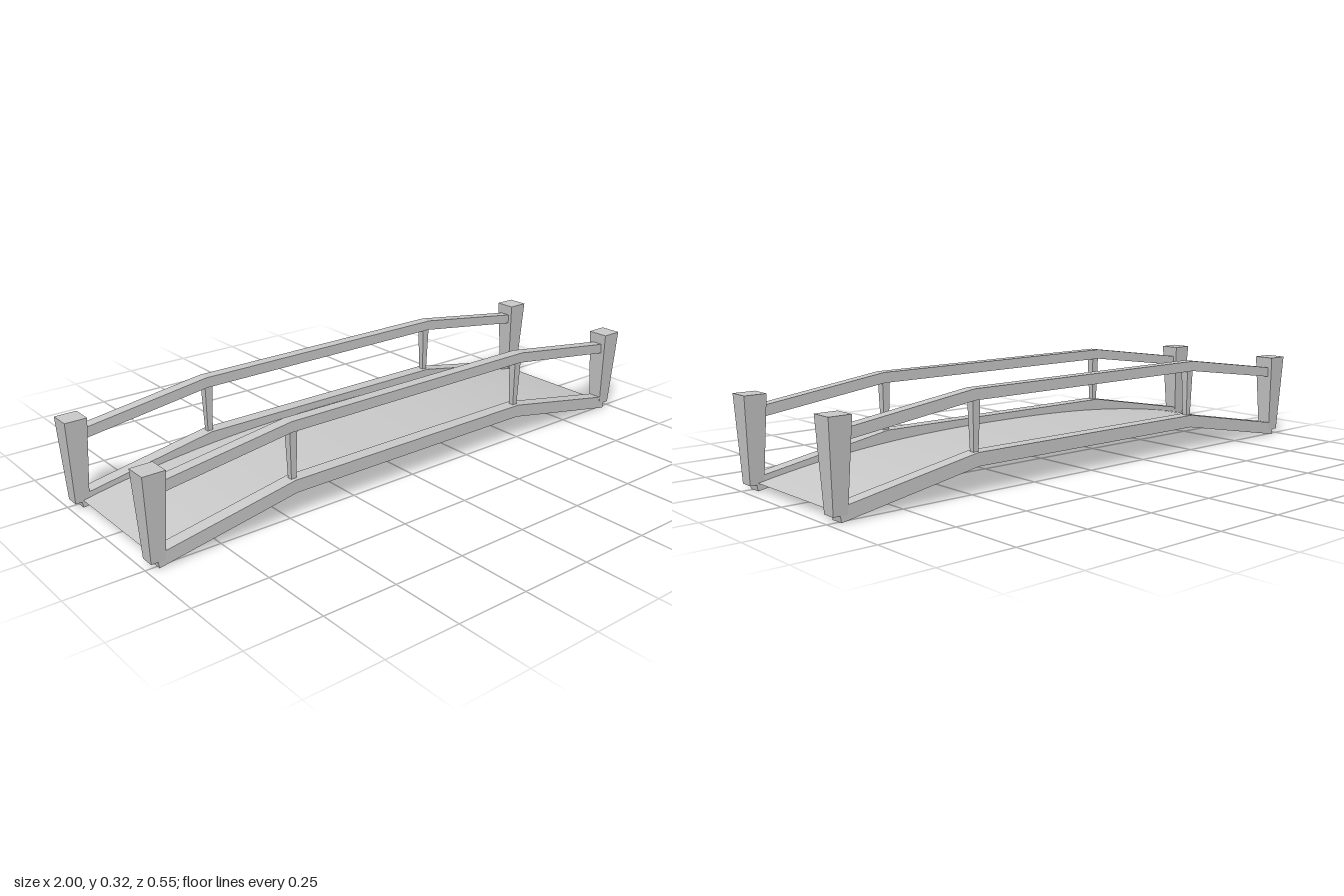
import * as THREE from 'three';

const material = new THREE.MeshStandardMaterial({ color: 0xcccccc, flatShading: true });
const deckMaterial = new THREE.MeshStandardMaterial({ color: 0xcccccc, side: THREE.DoubleSide });

const SIDE_Z = 0.24;

// Square post that widens towards the top
function taperedPost(name, bottomWidth, topWidth, y0, y1) {
  const geo = new THREE.BoxGeometry(1, y1 - y0, 1);
  const p = geo.attributes.position;
  for (let i = 0; i < p.count; i++) {
    const w = p.getY(i) > 0 ? topWidth : bottomWidth;
    p.setXYZ(i, p.getX(i) * w, p.getY(i) + (y0 + y1) / 2, p.getZ(i) * w);
  }
  geo.computeVertexNormals();
  const mesh = new THREE.Mesh(geo, material);
  mesh.name = name;
  return mesh;
}

// Bent beam: half outline (x > 0) mirrored, then extruded across its width
function bentBeam(name, half, width) {
  const mirrored = half.map(([x, y]) => [-x, y]).reverse();
  const outline = [...half, ...mirrored].map(([x, y]) => new THREE.Vector2(x, y));
  const geo = new THREE.ExtrudeGeometry(new THREE.Shape(outline), { depth: width, bevelEnabled: false });
  geo.translate(0, 0, -width / 2);
  const mesh = new THREE.Mesh(geo, material);
  mesh.name = name;
  return mesh;
}

// Thin walkway bowed upwards in the middle
function walkway() {
  const geo = new THREE.PlaneGeometry(1.92, 0.45, 32, 1).rotateX(-Math.PI / 2);
  const p = geo.attributes.position;
  for (let i = 0; i < p.count; i++) {
    const t = Math.abs(p.getX(i)) / 0.96;
    p.setY(i, 0.105 - 0.08 * Math.pow(t, 2.4));
  }
  geo.computeVertexNormals();
  const mesh = new THREE.Mesh(geo, deckMaterial);
  mesh.name = 'walkway';
  return mesh;
}

// One side of the bridge: beam, handrail and posts
function bridgeSide(name) {
  const side = new THREE.Group();
  side.name = name;
  side.add(bentBeam('lowerBeam', [[0.48, 0.087], [0.961, 0], [0.968, 0.043], [0.485, 0.13]], 0.047));
  side.add(bentBeam('handrail', [[0.49, 0.288], [0.96, 0.223], [0.965, 0.257], [0.493, 0.323]], 0.039));
  for (const s of [1, -1]) {
    const end = taperedPost('endPost', 0.047, 0.074, 0.02, 0.3);
    end.position.x = s * 0.963;
    const middle = taperedPost('middlePost', 0.018, 0.028, 0.12, 0.295);
    middle.position.x = s * 0.482;
    side.add(end, middle);
  }
  return side;
}

export function createModel() {
  const model = new THREE.Group();
  model.name = 'footbridge';
  model.add(walkway());
  for (const s of [1, -1]) {
    const side = bridgeSide(s > 0 ? 'frontSide' : 'backSide');
    side.position.z = s * SIDE_Z;
    model.add(side);
  }
  return model;
}
